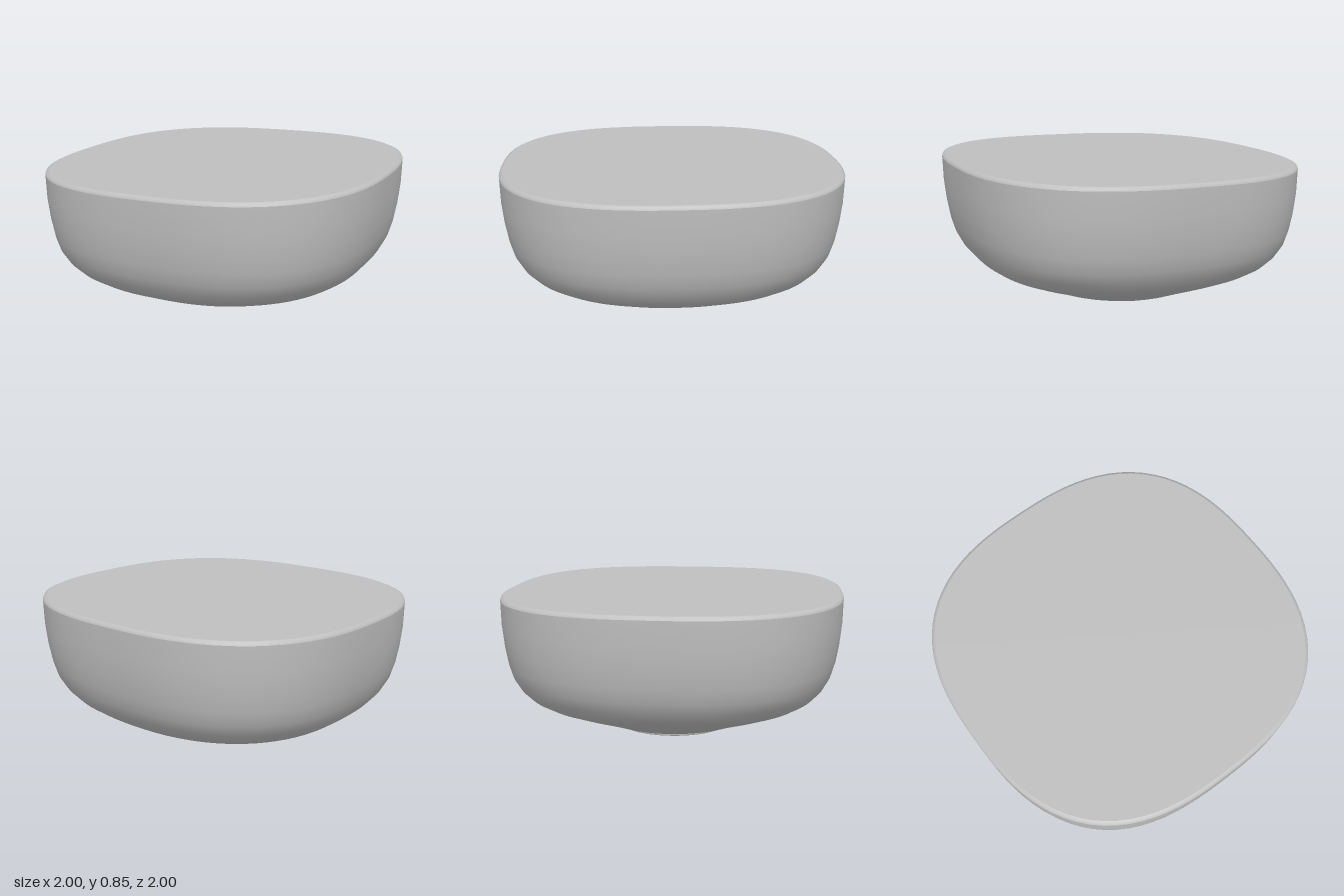
import * as THREE from 'three';

const SEG = 96;
const TILT = 0.0225; // the body leans up slightly toward +x

// One superellipse ring point: n = 2 is a circle, larger is squarer
function ringPoint([r, y, n], a) {
  const c = Math.cos(a), s = Math.sin(a);
  const k = r / Math.pow(Math.abs(c) ** n + Math.abs(s) ** n, 1 / n);
  return [k * c, y + TILT * k * c, k * s];
}

// Skin a stack of rings, listed from bottom to top
function loft(rings) {
  const pos = [], idx = [], w = SEG + 1;
  for (const ring of rings)
    for (let i = 0; i <= SEG; i++) pos.push(...ringPoint(ring, ((i % SEG) / SEG) * Math.PI * 2));
  for (let j = 0; j < rings.length - 1; j++)
    for (let i = 0; i < SEG; i++) {
      const a = j * w + i, b = a + w;
      idx.push(a, b, a + 1, a + 1, b, b + 1);
    }
  const g = new THREE.BufferGeometry();
  g.setAttribute('position', new THREE.Float32BufferAttribute(pos, 3));
  g.setIndex(idx);
  g.computeVertexNormals();
  // match normals across the seam
  const nor = g.attributes.normal, v = new THREE.Vector3(), u = new THREE.Vector3();
  for (let j = 0; j < rings.length; j++) {
    const a = j * w, b = a + SEG;
    v.fromBufferAttribute(nor, a).add(u.fromBufferAttribute(nor, b)).normalize();
    nor.setXYZ(a, v.x, v.y, v.z);
    nor.setXYZ(b, v.x, v.y, v.z);
  }
  return g;
}

export function createModel() {
  const model = new THREE.Group();
  const grey = new THREE.MeshStandardMaterial({ color: 0xbfbfbf });
  grey.name = 'grey';
  const add = (name, geometry) => {
    const mesh = new THREE.Mesh(geometry, grey);
    mesh.name = name;
    model.add(mesh);
    return mesh;
  };

  // Bowl wall: radius, height, squareness
  const base = [0.465, 0.044, 2], rim = [0.98, 0.823, 2.6];
  const shoulder = [1, 0.803, 2.6];
  add('bowlWall', loft([
    base, [0.59, 0.099, 2.1], [0.71, 0.151, 2.25], [0.81, 0.2, 2.4],
    [0.865, 0.24, 2.5], [0.91, 0.292, 2.55], [0.945, 0.36, 2.6],
    [0.968, 0.44, 2.6], [0.985, 0.54, 2.6], [0.997, 0.66, 2.6], shoulder,
  ]));

  // Narrow bevelled rim, flat top and flat underside
  add('rim', loft([shoulder, [0.995, 0.816, 2.6], rim]));
  add('topFace', loft([rim, [0.0001, 0.823, 2.6]]));
  add('underside', loft([[0.0001, 0.044, 2], base]));

  // Round foot disc, slightly off centre, with softened edges
  const foot = add('foot', new THREE.LatheGeometry([
    [0, 0], [0.35, 0], [0.35, 0], [0.356, 0.006], [0.356, 0.027],
    [0.35, 0.033], [0.35, 0.033], [0, 0.033],
  ].map(([x, y]) => new THREE.Vector2(x, y)), 64));
  foot.position.x = -0.042;

  return model;
}
